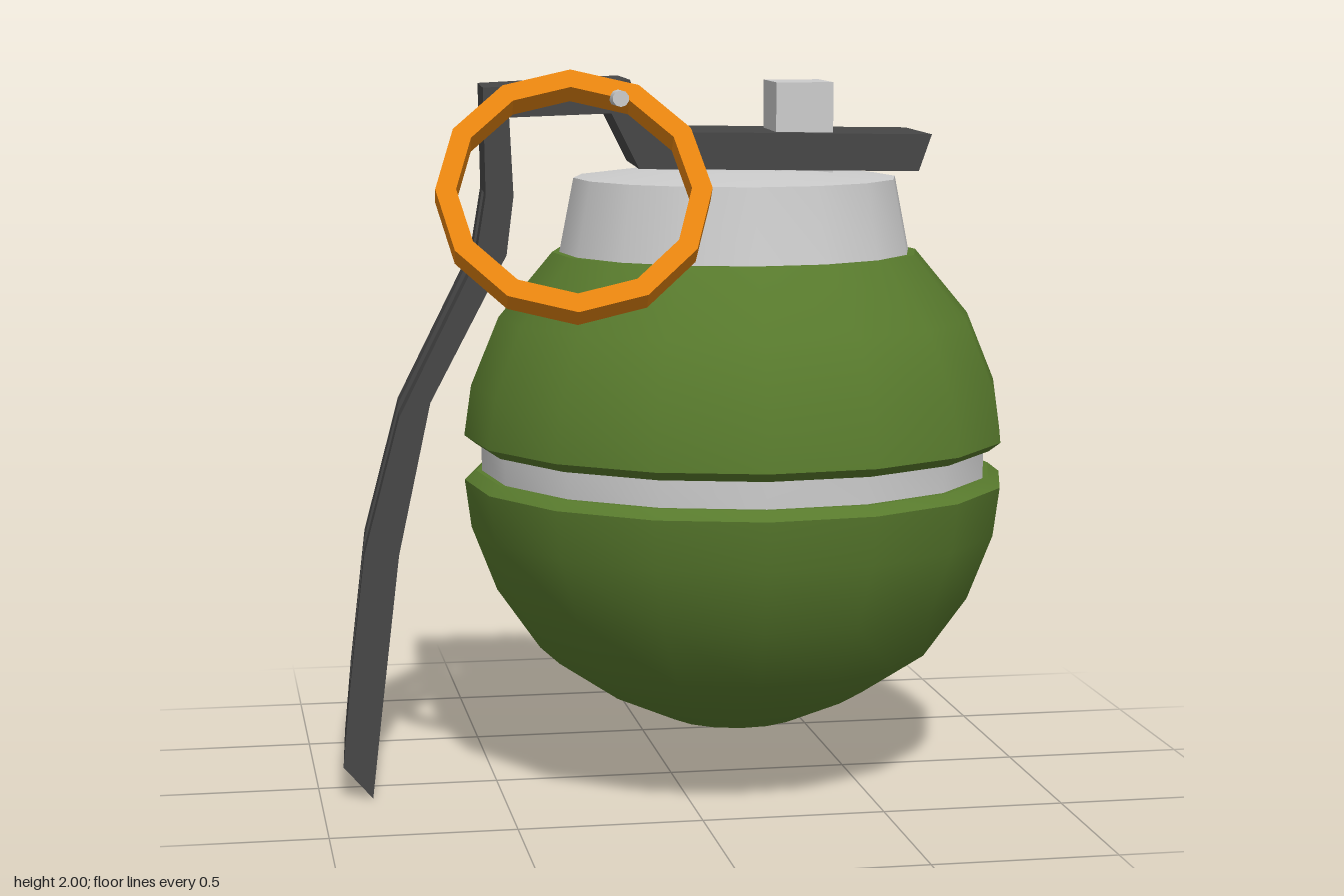
import * as THREE from 'three';
import { toCreasedNormals } from 'three/addons/utils/BufferGeometryUtils.js';

const paint = (color, flatShading = false) => new THREE.MeshStandardMaterial({ color, flatShading });
const grey = paint(0xcccccc);
const green = paint(0x587a2d);
const dark = paint(0x474747);
const orange = paint(0xe8850f, true);

function add(parent, name, geometry, material) {
  const mesh = new THREE.Mesh(geometry, material);
  mesh.name = name;
  parent.add(mesh);
  return mesh;
}

const points = (list) => list.map(([x, y]) => new THREE.Vector2(x, y));

// Sixteen-sided turned part, smooth around with crisp rims
const turned = (profile) => toCreasedNormals(new THREE.LatheGeometry(points(profile), 16), 0.6);

// Lever side profile, from the tip of the top plate to the foot of the arm
const OUTER = [[0.695, 1.82], [-0.07, 1.83], [-0.13, 1.97], [-0.525, 1.95], [-0.52, 1.66],
  [-0.55, 1.48], [-0.76, 1.06], [-0.86, 0.68], [-0.905, 0.3], [-0.925, 0.09]];
const INNER = [[0.66, 1.72], [-0.105, 1.73], [-0.18, 1.88], [-0.455, 1.87], [-0.445, 1.66],
  [-0.465, 1.5], [-0.675, 1.1], [-0.765, 0.68], [-0.815, 0.26], [-0.845, 0]];

// Extrudes profile stations first..last between two widths
function leverStrip(first, last, z0, z1) {
  const loop = [...OUTER.slice(first, last + 1), ...INNER.slice(first, last + 1).reverse()];
  const geometry = new THREE.ExtrudeGeometry(new THREE.Shape(points(loop)),
    { depth: z1 - z0, bevelEnabled: false });
  return geometry.translate(-0.18, 0, z0);
}

export function createModel() {
  const model = new THREE.Group();
  model.name = 'grenade';

  // Body, neck and lever share one slightly turned axis
  const main = new THREE.Group();
  main.name = 'body';
  main.position.x = 0.18;
  main.rotation.y = -0.073;
  model.add(main);

  add(main, 'lowerShell', turned([[0, 0.15], [0.19, 0.17], [0.37, 0.25], [0.55, 0.37], [0.67, 0.54],
    [0.74, 0.72], [0.758, 0.855], [0.725, 0.88], [0.68, 0.88]]), green);
  add(main, 'upperShell', turned([[0.68, 0.955], [0.725, 0.955], [0.758, 0.98], [0.738, 1.12],
    [0.66, 1.31], [0.51, 1.49], [0.4, 1.49]]), green);
  add(main, 'middleBand', turned([[0.71, 0.86], [0.71, 0.97]]), grey);
  add(main, 'neck', turned([[0.495, 1.47], [0.49, 1.49], [0.45, 1.695], [0.25, 1.72], [0, 1.72]]), grey);

  // Lever: two full-length rails, joined above and below the slot
  const lever = new THREE.Group();
  lever.name = 'lever';
  main.add(lever);
  const half = 0.206, slot = 0.073;
  add(lever, 'leverRailFront', leverStrip(0, 9, slot, half), dark);
  add(lever, 'leverRailBack', leverStrip(0, 9, -half, -slot), dark);
  add(lever, 'leverTop', leverStrip(0, 4, -slot, slot), dark);
  add(lever, 'leverFoot', leverStrip(8, 9, -slot, slot), dark);

  // Block standing through the top plate
  const block = add(main, 'topBlock', new THREE.BoxGeometry(0.157, 0.26, 0.268), grey);
  block.position.set(0.173, 1.83, 0.018);

  // Safety pin
  const pin = add(model, 'pin', new THREE.CylinderGeometry(0.022, 0.022, 0.65, 10), grey);
  pin.rotation.x = Math.PI / 2;
  pin.position.set(-0.2, 1.927, 0.06);

  // Twelve-sided pull ring with a square section, leaning outwards
  const section = [[0.306, -0.036], [0.36, -0.036], [0.36, 0.036], [0.306, 0.036], [0.306, -0.036]];
  const ringShape = new THREE.LatheGeometry(points(section), 12).rotateX(Math.PI / 2);
  const ring = add(model, 'pullRing', ringShape, orange);
  ring.rotation.set(-0.58, -0.09, 0, 'YXZ');
  ring.position.set(-0.335, 1.68, 0.45);

  return model;
}
